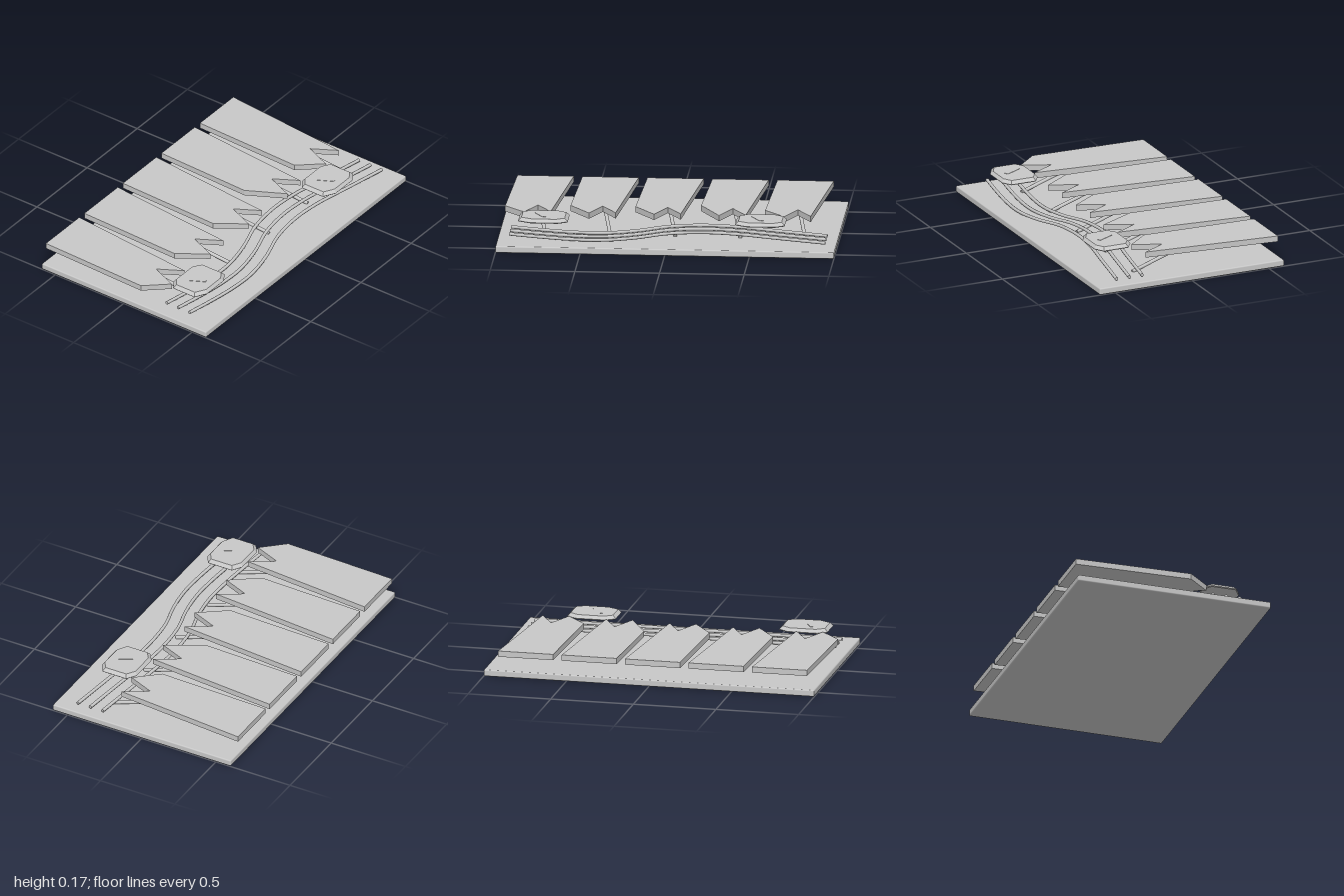
import * as THREE from 'three';
import { RoundedBoxGeometry } from 'three/addons/geometries/RoundedBoxGeometry.js';
import { ConvexGeometry } from 'three/addons/geometries/ConvexGeometry.js';

const V = (x, y, z) => new THREE.Vector3(x, y, z);

export function createModel() {
  const model = new THREE.Group();
  const gray = new THREE.MeshStandardMaterial({ color: 0xc7c7c7 });
  gray.name = 'light gray';

  const add = (name, geometry, x = 0, y = 0, z = 0) => {
    const mesh = new THREE.Mesh(geometry, gray);
    mesh.name = name;
    mesh.position.set(x, y, z);
    model.add(mesh);
    return mesh;
  };

  // Base slab with softened edges
  add('baseSlab', new RoundedBoxGeometry(1.2, 0.04, 2, 2, 0.008), 0, 0.02, 0);

  // Five planks with splintered ends, each with a slanted strut below
  const pitch = 0.384;
  const shoulders = [0.106, 0.02, 0.074, 0.074, 0.11];
  const strutTop = V(-0.06, 0.13, -0.748);
  const strutFoot = V(0.3, 0.042, -0.81);
  const strutDir = strutFoot.clone().sub(strutTop);
  const strutMid = strutTop.clone().lerp(strutFoot, 0.5);
  shoulders.forEach((shoulder, i) => {
    const outline = [
      [-0.6, -0.912], [0.228, -0.836], [0.08, -0.75],
      [0.246, -0.68], [shoulder, -0.558], [-0.6, -0.579],
    ].map(([x, z]) => new THREE.Vector2(x, -z));
    const plank = new THREE.ExtrudeGeometry(new THREE.Shape(outline), { depth: 0.035, bevelEnabled: false });
    plank.rotateX(-Math.PI / 2);
    add('plank' + (i + 1), plank, 0, 0.125, i * pitch);

    const rod = new THREE.CylinderGeometry(0.011, 0.011, strutDir.length(), 10);
    const strut = add('strut' + (i + 1), rod, strutMid.x, strutMid.y, strutMid.z + i * pitch);
    strut.quaternion.setFromUnitVectors(V(0, 1, 0), strutDir.clone().normalize());
  });

  // Three parallel wavy cables; they rise where they swing inwards
  const sway = [
    [0.38, -0.94], [0.337, -0.65], [0.3, -0.4], [0.29, -0.2], [0.31, 0],
    [0.363, 0.19], [0.393, 0.38], [0.39, 0.56], [0.37, 0.75], [0.345, 0.93],
  ];
  [-0.083, 0, 0.083].forEach((offset, i) => {
    const path = new THREE.CatmullRomCurve3(
      sway.map(([x, z]) => V(x + offset, 0.088 - 0.3 * (x - 0.29), z)));
    add('cable' + (i + 1), new THREE.TubeGeometry(path, 64, 0.01, 8, false));
    [0, 1].forEach((t) => {
      const cap = add('cableEnd', new THREE.CircleGeometry(0.01, 8));
      cap.position.copy(path.getPoint(t));
      const out = path.getTangent(t).multiplyScalar(t ? 1 : -1);
      cap.quaternion.setFromUnitVectors(V(0, 0, 1), out);
    });
  });

  // Two eight-sided clamp plates with chamfered tops and a thin slanted mark
  const octagon = [
    [-0.078, -0.147], [0.082, -0.147], [0.117, -0.092], [0.117, 0.075],
    [0.076, 0.147], [-0.078, 0.147], [-0.117, 0.092], [-0.117, -0.088],
  ];
  const rings = [[0.148, 0.97], [0.153, 1], [0.172, 0.87]];
  const platePoints = rings.flatMap(([y, s]) => octagon.map(([x, z]) => V(x * s, y, z * s)));
  [-0.551, 0.731].forEach((z, i) => {
    add('clampPlate' + (i + 1), new ConvexGeometry(platePoints), 0.35, 0, z);
    const mark = add('clampMark' + (i + 1), new THREE.BoxGeometry(0.115, 0.005, 0.025), 0.35, 0.1715, z + 0.02);
    mark.rotation.y = 0.5;
  });

  return model;
}
